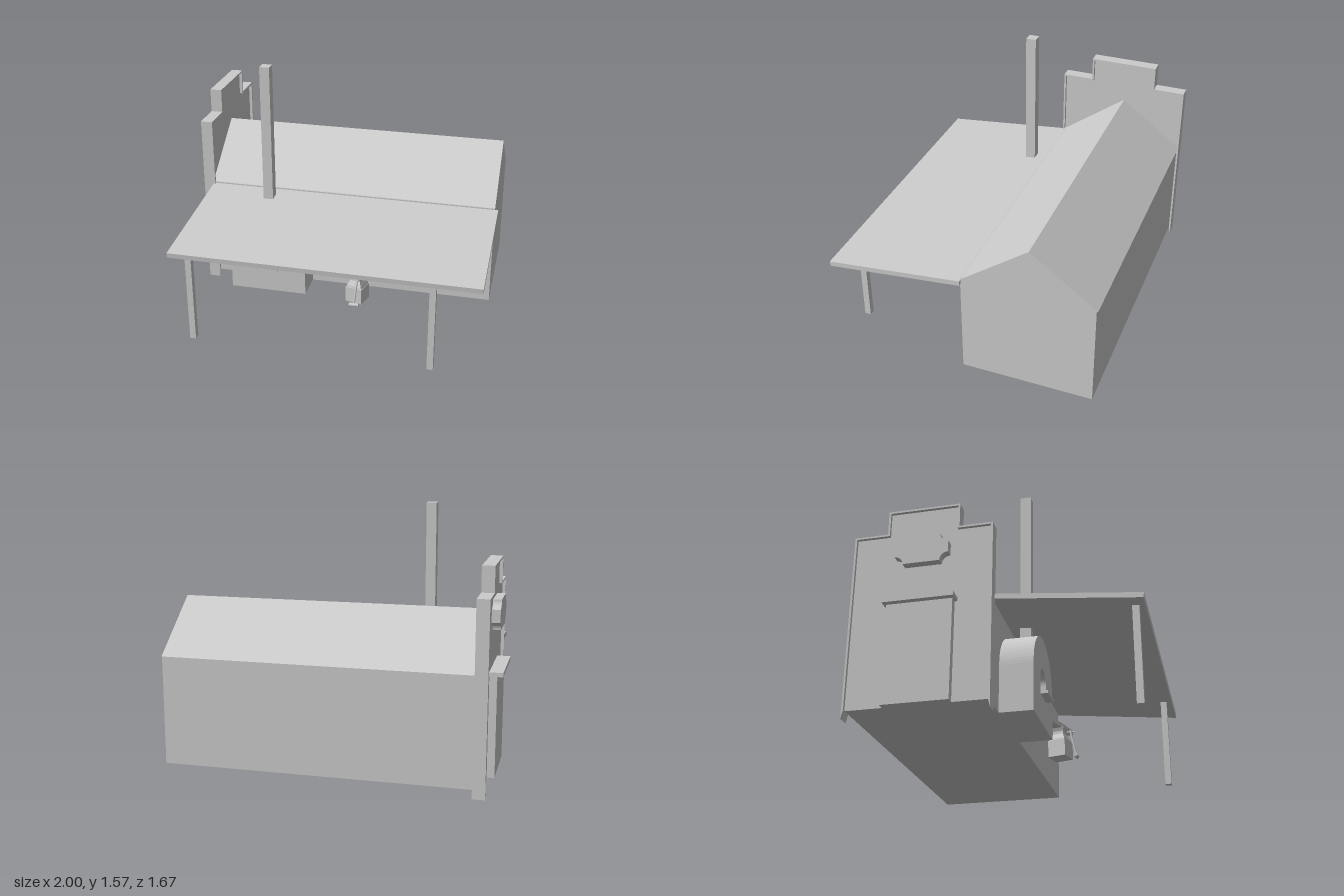
import * as THREE from 'three';

const stone = new THREE.MeshStandardMaterial({ color: 0xcccccc });
stone.name = 'plain grey';

function add(parent, name, geometry) {
  const mesh = new THREE.Mesh(geometry, stone);
  mesh.name = name;
  parent.add(mesh);
  return mesh;
}

// Box given by its limits on each axis
function box(parent, name, x0, x1, y0, y1, z0, z1) {
  const mesh = add(parent, name, new THREE.BoxGeometry(x1 - x0, y1 - y0, z1 - z0));
  mesh.position.set((x0 + x1) / 2, (y0 + y1) / 2, (z0 + z1) / 2);
  return mesh;
}

const shapeOf = (points) => new THREE.Shape(points.map(([a, b]) => new THREE.Vector2(a, b)));

// Extrudes a shape drawn in (-z, y) from x0 to x1
function extrudeX(shape, x0, x1) {
  const g = new THREE.ExtrudeGeometry(shape, { depth: x1 - x0, bevelEnabled: false, curveSegments: 8 });
  return g.rotateY(Math.PI / 2).translate(x0, 0, 0);
}

// Round-topped opening outline
function arch(Type, x0, x1, y0, yTop) {
  const r = (x1 - x0) / 2;
  const p = new Type();
  p.moveTo(x0, y0);
  p.lineTo(x1, y0);
  p.lineTo(x1, yTop - r);
  p.absarc((x0 + x1) / 2, yTop - r, r, 0, Math.PI, false);
  p.lineTo(x0, y0);
  return p;
}

// Thin round bar between two points
function rod(parent, name, a, b, radius) {
  const from = new THREE.Vector3(...a);
  const dir = new THREE.Vector3(...b).sub(from);
  const mesh = add(parent, name, new THREE.CylinderGeometry(radius, radius, dir.length(), 8));
  mesh.position.copy(from).addScaledVector(dir, 0.5);
  mesh.quaternion.setFromUnitVectors(new THREE.Vector3(0, 1, 0), dir.normalize());
  return mesh;
}

function buildFacade(parent) {
  const facade = new THREE.Group();
  facade.name = 'facade';
  parent.add(facade);

  // Stepped parapet: raised rim around a recessed panel
  const t = 0.012;
  const outer = [[-0.005, 0], [-0.005, 1.135], [0.195, 1.135], [0.195, 1.287],
    [0.632, 1.287], [0.632, 1.135], [0.835, 1.135], [0.835, 0]];
  const inner = [[0.835 - t, 0.05], [0.835 - t, 1.135 - t], [0.632 - t, 1.135 - t], [0.632 - t, 1.287 - t],
    [0.195 + t, 1.287 - t], [0.195 + t, 1.135 - t], [-0.005 + t, 1.135 - t], [-0.005 + t, 0.05]];
  add(facade, 'parapetRim', extrudeX(shapeOf([...outer, ...inner]), -0.94, -0.865));
  add(facade, 'facadePanel', extrudeX(shapeOf(inner), -0.92, -0.885));

  box(facade, 'door', -0.965, -0.915, 0.05, 0.655, -0.605, -0.215);
  box(facade, 'doorLintel', -1, -0.915, 0.655, 0.68, -0.62, -0.2);

  // Plaque with scooped corners
  const [a0, a1, b0, b1, r] = [0.25, 0.57, 0.905, 1.08, 0.05];
  const plaque = new THREE.Shape();
  plaque.moveTo(a0 + r, b0);
  plaque.lineTo(a1 - r, b0);
  plaque.absarc(a1, b0, r, Math.PI, Math.PI / 2, true);
  plaque.lineTo(a1, b1 - r);
  plaque.absarc(a1, b1, r, -Math.PI / 2, -Math.PI, true);
  plaque.lineTo(a0 + r, b1);
  plaque.absarc(a0, b1, r, 0, -Math.PI / 2, true);
  plaque.lineTo(a0, b0 + r);
  plaque.absarc(a0, b0, r, Math.PI / 2, 0, true);
  add(facade, 'plaque', extrudeX(plaque, -0.97, -0.915));
}

function buildForge(parent) {
  const forge = new THREE.Group();
  forge.name = 'forge';
  parent.add(forge);

  // Arched hearth with a fire opening
  const body = arch(THREE.Shape, -0.71, -0.207, 0.05, 0.587);
  body.holes.push(arch(THREE.Path, -0.535, -0.385, 0.222, 0.393));
  add(forge, 'hearth', new THREE.ExtrudeGeometry(body,
    { depth: 0.2, bevelEnabled: false, curveSegments: 20 }).translate(0, 0, -0.01));
  box(forge, 'fireBack', -0.55, -0.37, 0.2, 0.41, 0.02, 0.06);
  box(forge, 'hearthShelf', -0.535, -0.385, 0.215, 0.232, 0.05, 0.235);
  box(forge, 'chimney', -0.493, -0.43, 0.57, 1.57, 0.06, 0.125);
}

function buildAnvil(parent) {
  const anvil = new THREE.Group();
  anvil.name = 'anvil';
  anvil.position.set(0.14, 0.05, 0.17);
  anvil.rotation.y = -0.26;
  parent.add(anvil);

  box(anvil, 'anvilBlock', -0.057, 0.057, 0, 0.105, -0.057, 0.057);

  // Waisted square body
  const waist = [[0.052, 0.105], [0.05, 0.117], [0.034, 0.15], [0.034, 0.168], [0.045, 0.192]];
  const s = Math.SQRT2;
  const body = new THREE.LatheGeometry(waist.map(([r, y]) => new THREE.Vector2(r * s, y)), 4, Math.PI / 4)
    .toNonIndexed();
  body.computeVertexNormals();
  add(anvil, 'anvilBody', body);

  // Face with a tapering horn
  const top = box(anvil, 'anvilFace', -0.06, 0.12, 0.188, 0.217, -0.03, 0.03);
  const horn = new THREE.BoxGeometry(0.08, 0.029, 0.06);
  const p = horn.attributes.position;
  for (let i = 0; i < p.count; i++) {
    if (p.getX(i) < 0) {
      p.setZ(i, p.getZ(i) * 0.2);
      if (p.getY(i) < 0) p.setY(i, 0.0);
    }
  }
  const flatHorn = horn.toNonIndexed();
  flatHorn.computeVertexNormals();
  add(anvil, 'anvilHorn', flatHorn).position.set(-0.1, top.position.y, 0);

  // Hammer leaning on the block
  rod(parent, 'hammerHandle', [0.138, 0.06, 0.27], [0.153, 0.235, 0.23], 0.006);
  rod(parent, 'hammerHead', [0.107, 0.06, 0.27], [0.168, 0.062, 0.27], 0.013);
  rod(parent, 'hangingPeg', [0.155, 0.222, 0.255], [0.155, 0.222, 0.19], 0.006);
}

export function createModel() {
  const model = new THREE.Group();
  model.name = 'smithy';

  // House with a gabled roof
  const walls = shapeOf([[0.008, 0.05], [0.822, 0.05], [0.822, 0.71], [0.008, 0.71]]);
  add(model, 'walls', extrudeX(walls, -0.89, 0.98));
  const roof = shapeOf([[0.02, 0.71], [0.83, 0.71], [0.425, 1.008]]);
  add(model, 'gableRoof', extrudeX(roof, -0.89, 0.98));

  // Sloping porch roof on two posts
  const porch = shapeOf([[-0.835, 0.58], [0.012, 0.67], [0.012, 0.702], [-0.838, 0.611]]);
  add(model, 'porchRoof', extrudeX(porch, -0.877, 1));
  for (const x of [-0.762, 0.713]) {
    box(model, 'porchPost', x - 0.019, x + 0.019, 0.01, 0.59, 0.76, 0.8);
  }

  buildFacade(model);
  buildForge(model);
  buildAnvil(model);
  return model;
}
